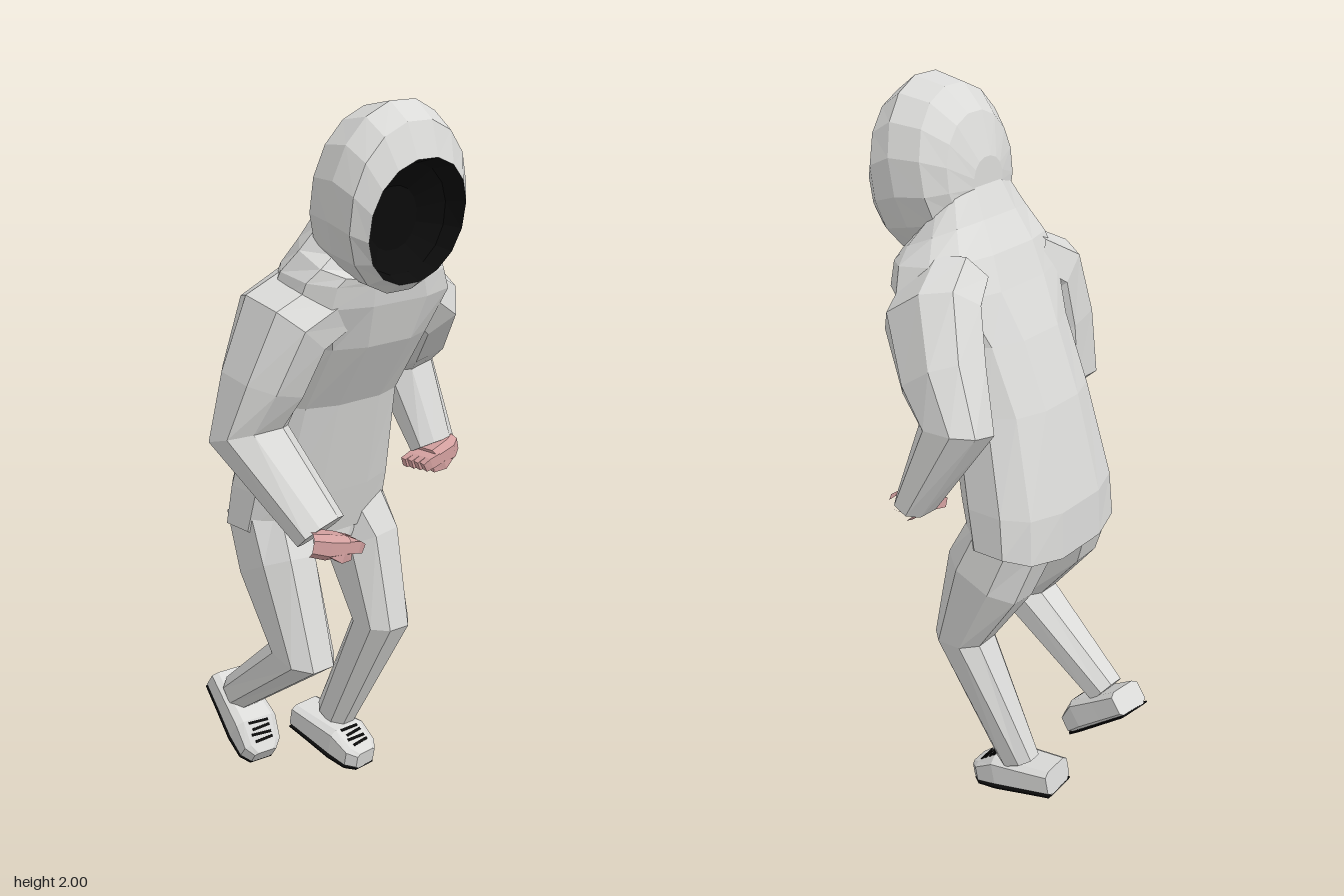
import * as THREE from 'three';

const V = (x, y, z) => new THREE.Vector3(x, y, z);
const mat = (name, color) => {
  const m = new THREE.MeshStandardMaterial({ color });
  m.name = name;
  return m;
};

// Skin a stack of rings {c, u, v}; p < 1 makes the cross-section squarer, sag drops front and back.
function loft(rings, n, p = 1, capStart = true, capEnd = true) {
  const pos = [], idx = [];
  const k = Math.pow(Math.cos(Math.PI / n), p);
  const pow = (a) => (Math.sign(a) * Math.pow(Math.abs(a), p)) / k;
  for (const { c, u, v, sag = 0 } of rings) {
    for (let i = 0; i < n; i++) {
      const a = ((i + 0.5) / n) * Math.PI * 2;
      const q = c.clone().addScaledVector(u, pow(Math.cos(a))).addScaledVector(v, pow(Math.sin(a)));
      pos.push(q.x, q.y - sag * Math.abs(Math.sin(a)), q.z);
    }
  }
  const last = rings.length - 1;
  for (let r = 0; r < last; r++) {
    for (let i = 0; i < n; i++) {
      const a = r * n + i, b = r * n + ((i + 1) % n);
      idx.push(a, b, b + n, a, b + n, a + n);
    }
  }
  const cap = (r, flip) => {
    const m = pos.length / 3, { c, sag = 0 } = rings[r];
    pos.push(c.x, c.y - sag * 0.6, c.z);
    for (let i = 0; i < n; i++) {
      const a = r * n + i, b = r * n + ((i + 1) % n);
      flip ? idx.push(b, a, m) : idx.push(a, b, m);
    }
  };
  if (capStart) cap(0, true);
  if (capEnd) cap(last, false);
  const g = new THREE.BufferGeometry();
  g.setAttribute('position', new THREE.Float32BufferAttribute(pos, 3));
  g.setIndex(idx);
  const flat = g.toNonIndexed(); // separate faces give faceted normals
  flat.computeVertexNormals();
  return flat;
}

// Limb through sections [x, y, z, halfWidth, halfDepth], each ring square to the path;
// the root end stays open because it is buried in the body
function limb(secs, n = 8, p = 0.85, ref = V(1, 0, 0)) {
  const pts = secs.map((s) => V(s[0], s[1], s[2]));
  const dir = (i) => pts[i + 1].clone().sub(pts[i]).normalize();
  const rings = secs.map((s, i) => {
    const t = V(0, 0, 0);
    if (i > 0) t.add(dir(i - 1));
    if (i < secs.length - 1) t.add(dir(i));
    t.normalize();
    const u = ref.clone().addScaledVector(t, -ref.dot(t)).normalize();
    const v = t.clone().cross(u);
    return { c: pts[i], u: u.multiplyScalar(s[3]), v: v.multiplyScalar(s[4]) };
  });
  return loft(rings, n, p, false, true);
}

// Ring of the trunk: height, back z, front z, half width, centre x, sag, rise of the back edge
const level = ([y, back, front, hw, x = 0, sag = 0, rise = 0]) => ({
  c: V(x, y, (back + front) / 2), u: V(hw, 0, 0), v: V(0, rise, (back - front) / 2), sag,
});

// Hood ring from its top and bottom points (z, y) and half width
const hoodRing = ([zt, yt, zb, yb, hw]) => ({
  c: V(-0.032, (yt + yb) / 2, (zt + zb) / 2), u: V(hw, 0, 0), v: V(0, (yt - yb) / 2, (zt - zb) / 2),
});

export function createModel() {
  const root = new THREE.Group();
  root.name = 'hoodedFigure';
  const cloth = mat('light grey cloth', 0xdadad8);
  const skin = mat('pink skin', 0xd3a09f);
  const black = mat('black', 0x0b0b0b);
  const add = (name, geo, material, parent = root) => {
    const m = new THREE.Mesh(geo, material);
    m.name = name;
    parent.add(m);
    return m;
  };

  // Trunk leaning forward, with a drooping hem and a collar rising behind the neck
  add('hoodieBody', loft([
    [0.845, -0.26, 0.0, 0.247, 0.005, 0.05],
    [0.95, -0.255, 0.035, 0.238, 0.005, 0.02],
    [1.2, -0.185, 0.1, 0.205],
    [1.38, -0.115, 0.215, 0.21],
    [1.5, -0.055, 0.255, 0.26, 0, 0, 0.005],
    [1.57, -0.015, 0.265, 0.235, -0.012, 0, 0.02],
    [1.615, 0.04, 0.27, 0.19, -0.028, 0, 0.05],
    [1.66, 0.085, 0.25, 0.145, -0.032, 0, 0.09],
  ].map(level), 12, 0.78), cloth);

  // Hood, from the back of the head to the rim
  const rim = [0.375, 1.868, 0.318, 1.556, 0.158];
  add('hood', loft([
    [0.082, 1.81, 0.078, 1.69, 0.06],
    [0.122, 1.92, 0.09, 1.62, 0.135],
    [0.19, 1.982, 0.12, 1.565, 0.18],
    [0.285, 2.0, 0.2, 1.54, 0.197],
    [0.345, 1.955, 0.28, 1.53, 0.19],
    rim,
  ].map(hoodRing), 16, 0.95, true, false), cloth);

  // Dark hollow inside the hood
  add('faceHollow', loft([
    rim,
    [0.31, 1.85, 0.28, 1.575, 0.14],
    [0.26, 1.79, 0.25, 1.63, 0.08],
  ].map(hoodRing), 16, 0.95, false, true), black);

  // Sleeves, wide where they join the shoulders and each bent differently
  add('rightSleeve', limb([
    [-0.14, 1.51, 0.1, 0.085, 0.125],
    [-0.25, 1.45, 0.085, 0.1, 0.13],
    [-0.297, 1.3, 0.06, 0.097, 0.11],
    [-0.325, 1.16, 0.035, 0.1, 0.085],
    [-0.262, 0.935, 0.245, 0.075, 0.045],
  ]), cloth);
  add('leftSleeve', limb([
    [0.14, 1.51, 0.09, 0.085, 0.125],
    [0.238, 1.455, 0.055, 0.098, 0.135],
    [0.3, 1.325, -0.03, 0.098, 0.11],
    [0.34, 1.22, -0.1, 0.082, 0.09],
    [0.352, 0.985, 0.028, 0.068, 0.045],
  ]), cloth);

  // Hands turned inward, with four fingers and a thumb
  const hand = (name, s, x, y, z) => {
    const g = new THREE.Group();
    g.name = name;
    root.add(g);
    const zAxis = V(0, 0, 1);
    add('palm', limb([
      [x, y, z - 0.015, 0.034, 0.03],
      [x - s * 0.035, y - 0.008, z - 0.002, 0.046, 0.034],
      [x - s * 0.095, y - 0.02, z, 0.044, 0.026],
    ], 8, 0.7, zAxis), skin, g);
    for (let i = 0; i < 4; i++) {
      const fz = z + (i - 1.5) * 0.022;
      add('finger', limb([
        [x - s * 0.085, y - 0.016, fz, 0.012, 0.016],
        [x - s * 0.12, y - 0.024, fz, 0.012, 0.016],
        [x - s * (0.15 - i * 0.004), y - 0.034, fz - 0.004, 0.01, 0.013],
      ], 4, 0.9, zAxis), skin, g);
    }
    add('thumb', limb([
      [x - s * 0.03, y - 0.015, z + 0.025, 0.013, 0.013],
      [x - s * 0.065, y - 0.04, z + 0.032, 0.013, 0.013],
      [x - s * 0.1, y - 0.047, z + 0.025, 0.01, 0.01],
    ], 4, 0.9, zAxis), skin, g);
  };
  hand('rightHand', -1, -0.325, 0.925, 0.285);
  hand('leftHand', 1, 0.4, 0.982, 0.055);

  // Trousers
  add('trouserSeat', loft([
    [0.76, -0.2, 0.0, 0.13],
    [0.83, -0.245, 0.0, 0.22],
    [0.92, -0.235, 0.0, 0.215],
  ].map(level), 12, 0.8), cloth);
  add('rightTrouserLeg', limb([
    [-0.125, 0.87, -0.13, 0.11, 0.11],
    [-0.155, 0.72, -0.062, 0.09, 0.12],
    [-0.16, 0.49, 0.05, 0.077, 0.09],
    [-0.145, 0.25, -0.26, 0.05, 0.052],
  ]), cloth);
  add('leftTrouserLeg', limb([
    [0.125, 0.87, -0.13, 0.11, 0.11],
    [0.16, 0.72, -0.067, 0.09, 0.12],
    [0.155, 0.49, 0.028, 0.075, 0.078],
    [0.133, 0.12, -0.15, 0.042, 0.058],
  ]), cloth);

  // Shoes: stations along the length as [z, half width, height]
  const stations = [[0, 0.058, 0.074], [0.09, 0.062, 0.082], [0.18, 0.067, 0.092], [0.245, 0.06, 0.062], [0.272, 0.036, 0.052]];
  const shoe = (name, x, y, z, pitch, yaw) => {
    const g = new THREE.Group();
    g.name = name;
    g.position.set(x, y, z);
    g.rotation.set(pitch, yaw, 0, 'YXZ');
    root.add(g);
    add('upper', loft(stations.map(([l, w, h]) => ({
      c: V(0, h / 2, l), u: V(w, 0, 0), v: V(0, h / 2, 0),
    })), 8, 0.4), cloth, g);
    add('sole', loft(stations.map(([l, w]) => ({
      c: V(0, 0, l), u: V(w, 0, 0), v: V(0, 0.003, 0),
    })), 8, 0.4), black, g);
    for (let i = 0; i < 4; i++) {
      const t = (i + 0.6) / 4;
      const lace = add('lace', new THREE.BoxGeometry(0.064 - 0.006 * (i % 2), 0.004, 0.008), black, g);
      lace.position.set(0.004 * (i % 2), 0.093 - 0.03 * t, 0.18 + 0.065 * t);
      lace.rotation.set(0.43, 0.06 * (i % 2 ? 1 : -1), 0);
    }
  };
  shoe('rightShoe', -0.128, 0.235, -0.368, 0.66, -0.12);
  shoe('leftShoe', 0.108, 0.058, -0.272, 0.19, 0.06);

  return root;
}
